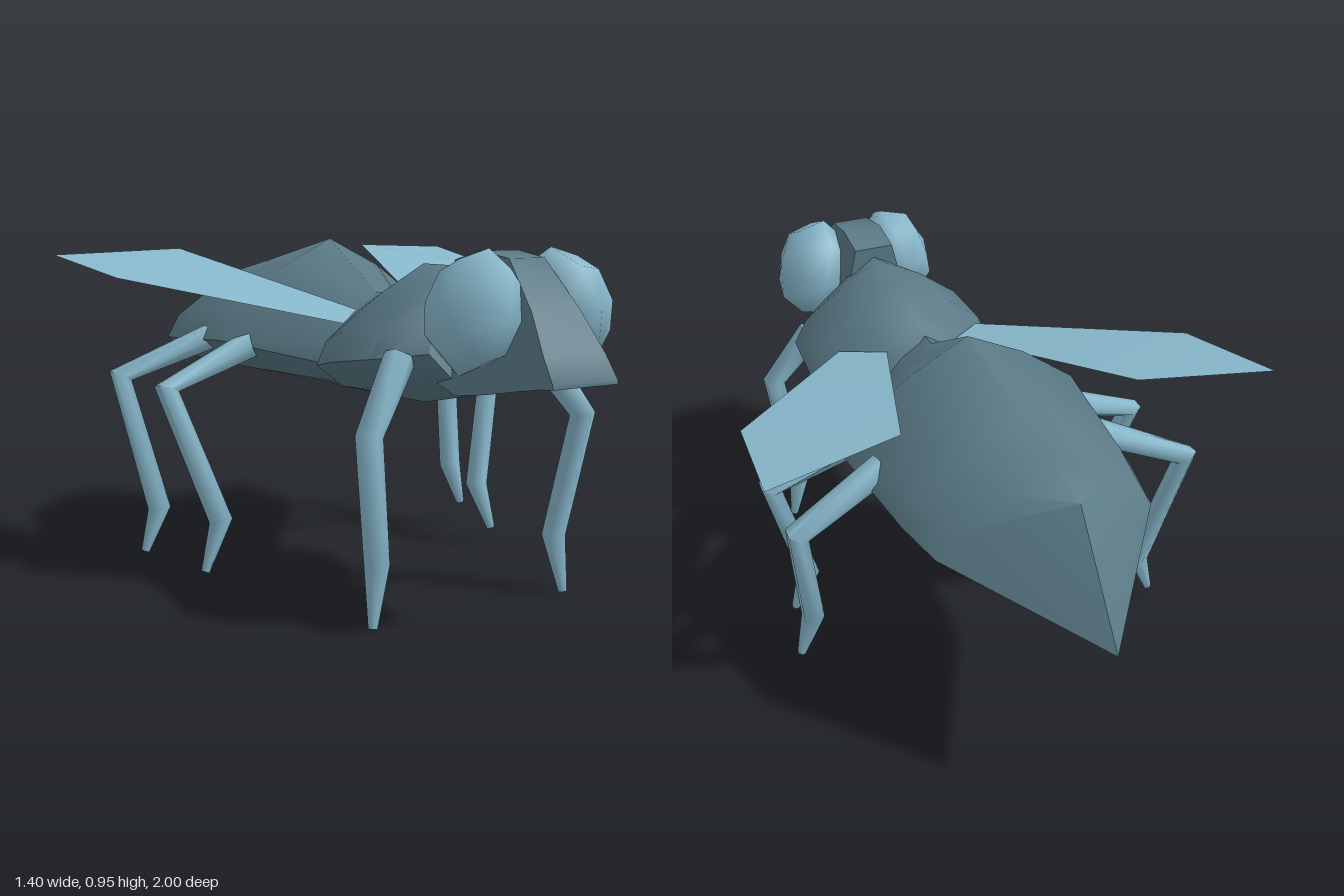
import * as THREE from 'three';
import { toCreasedNormals } from 'three/addons/utils/BufferGeometryUtils.js';

const V = (x, y, z) => new THREE.Vector3(x, y, z);
const dark = new THREE.MeshStandardMaterial({ color: 0x5a7a86 });
const light = new THREE.MeshStandardMaterial({ color: 0x88b8cc });
const wingMaterial = new THREE.MeshStandardMaterial({ color: 0x88b8cc, side: THREE.DoubleSide });

// Skin between rings of points (counter-clockwise around the travel direction), capped at both ends
function loft(rings, crease) {
  const n = rings[0].length, pos = [], idx = [];
  rings.forEach(r => r.forEach(p => pos.push(p.x, p.y, p.z)));
  const face = (...corners) => {
    const [a, b, c] = corners.map(i => V(...pos.slice(i * 3, i * 3 + 3)));
    if (b.sub(a).cross(c.sub(a)).length() > 1e-7) idx.push(...corners);
  };
  for (let i = 0; i < rings.length - 1; i++) {
    for (let j = 0; j < n; j++) {
      const a = i * n + j, b = i * n + (j + 1) % n;
      face(a, b, a + n);
      face(b, b + n, a + n);
    }
  }
  [0, rings.length - 1].forEach((r, end) => {
    const c = rings[r].reduce((s, p) => s.add(p), V(0, 0, 0)).divideScalar(n);
    const centre = pos.length / 3;
    pos.push(c.x, c.y, c.z);
    for (let j = 0; j < n; j++) {
      const a = r * n + j, b = r * n + (j + 1) % n;
      face(centre, end ? a : b, end ? b : a);
    }
  });
  const g = new THREE.BufferGeometry();
  g.setAttribute('position', new THREE.Float32BufferAttribute(pos, 3));
  g.setIndex(idx);
  return toCreasedNormals(g.toNonIndexed(), crease);
}

function addMesh(parent, name, geometry, material) {
  const mesh = new THREE.Mesh(geometry, material);
  mesh.name = name;
  parent.add(mesh);
  return mesh;
}

// Half outline of a body section: width fraction, height fraction
const HALF = [[0, 1], [0.45, 0.81], [0.87, 0.55], [1, 0.34], [0.7, 0.14], [0, 0]];

// Body section at zBottom, its top leaning to zTop
function bodyRing([zBottom, zTop, w, top, bottom]) {
  const at = (s, [x, h]) => V(s * x * w, bottom + (top - bottom) * h, zBottom + (zTop - zBottom) * h);
  return [...HALF.map(p => at(-1, p)), ...HALF.slice(1, -1).reverse().map(p => at(1, p))];
}

// Tapered limb through its joints
function limb(points, radii, sides = 6) {
  const rings = points.map((p, i) => {
    const before = points[Math.max(i - 1, 0)], after = points[Math.min(i + 1, points.length - 1)];
    const d = after.clone().sub(before).normalize();
    const u = V(0, 0, 1).addScaledVector(d, -d.z).normalize();
    const v = d.clone().cross(u);
    return Array.from({ length: sides }, (_, k) => {
      const a = k / sides * Math.PI * 2;
      return p.clone().addScaledVector(u, radii[i] * Math.cos(a)).addScaledVector(v, radii[i] * Math.sin(a));
    });
  });
  return loft(rings, 1.3);
}

export function createModel() {
  const model = new THREE.Group();
  model.name = 'fly';

  // Abdomen, from the slanting tail edge to the waist; the upper outline meets the edge's top, the lower its tip
  const rump = bodyRing([-0.62, -0.62, 0.305, 0.855, 0.525]);
  const tailEdge = rump.map(p => p.y > 0.68 ? V(0, 0.825, -0.78) : V(0, 0.525, -1));
  addMesh(model, 'abdomen', loft([tailEdge, rump, ...[
    [-0.47, -0.47, 0.335, 0.885, 0.525],
    [-0.13, -0.13, 0.37, 0.955, 0.525],
    [0.12, 0.12, 0.19, 0.81, 0.525],
    [0.25, 0.25, 0.15, 0.81, 0.535],
  ].map(bodyRing)], 1), dark);

  // Thorax
  addMesh(model, 'thorax', loft([
    [0.18, 0.15, 0.19, 0.8, 0.535],
    [0.23, 0.21, 0.26, 0.83, 0.525],
    [0.36, 0.35, 0.295, 0.9, 0.525],
    [0.53, 0.51, 0.285, 0.9, 0.56],
    [0.66, 0.57, 0.18, 0.89, 0.59],
  ].map(bodyRing), 1.1), dark);

  // Head wedge: z, top height, top half width, bottom height, bottom half width
  addMesh(model, 'head', loft([
    [0.57, 0.92, 0.06, 0.62, 0.13],
    [0.67, 0.945, 0.06, 0.59, 0.13],
    [0.78, 0.93, 0.055, 0.605, 0.125],
    [0.89, 0.81, 0.075, 0.625, 0.115],
    [0.96, 0.71, 0.095, 0.637, 0.105],
    [1, 0.65, 0.1, 0.64, 0.1],
  ].map(([z, t, tw, b, bw]) => [V(tw, t, z), V(-tw, t, z), V(-bw, b, z), V(bw, b, z)]), 1), dark);

  for (const s of [1, -1]) {
    const side = s > 0 ? 'left' : 'right';

    // Large faceted eye, its top leaning inward
    const eyeShape = new THREE.SphereGeometry(1, 8, 4);
    eyeShape.rotateZ(Math.PI / 2);
    const eye = addMesh(model, side + 'Eye', eyeShape, light);
    eye.scale.set(0.108, 0.158, 0.14);
    eye.position.set(s * 0.14, 0.803, 0.755);
    eye.rotation.z = s * 0.28;

    // Flat wing swept back and up
    const outline = [[0.11, 0.77, 0.19], [0.22, 0.745, 0.295], [0.655, 0.855, -0.19], [0.7, 0.907, -0.55], [0.33, 0.922, -0.47]];
    const wing = new THREE.BufferGeometry();
    wing.setAttribute('position', new THREE.Float32BufferAttribute(outline.flatMap(([x, y, z]) => [s * x, y, z]), 3));
    wing.setIndex(s > 0 ? [0, 1, 2, 0, 2, 4, 2, 3, 4] : [0, 2, 1, 0, 4, 2, 2, 4, 3]);
    wing.computeVertexNormals();
    addMesh(model, side + 'Wing', wing, wingMaterial);
  }

  // Legs: hip, knee, ankle, foot; the two sides are posed a little differently
  const legs = {
    leftFrontLeg: [[0.22, 0.68, 0.56], [0.335, 0.5, 0.62], [0.29, 0.16, 0.565], [0.31, 0.003, 0.585]],
    rightFrontLeg: [[-0.22, 0.68, 0.56], [-0.35, 0.5, 0.62], [-0.29, 0.16, 0.565], [-0.315, 0.003, 0.585]],
    leftMiddleLeg: [[0.27, 0.69, -0.08], [0.555, 0.575, -0.06], [0.44, 0.19, 0.025], [0.48, 0.05, 0.05]],
    rightMiddleLeg: [[-0.27, 0.67, -0.09], [-0.57, 0.555, -0.06], [-0.44, 0.18, 0], [-0.49, 0.04, 0]],
    leftRearLeg: [[0.24, 0.725, -0.25], [0.565, 0.59, -0.32], [0.5, 0.21, -0.195], [0.54, 0.08, -0.19]],
    rightRearLeg: [[-0.24, 0.7, -0.27], [-0.58, 0.56, -0.355], [-0.5, 0.17, -0.28], [-0.545, 0.045, -0.285]],
  };
  for (const [name, joints] of Object.entries(legs)) {
    addMesh(model, name, limb(joints.map(p => V(...p)), [0.042, 0.035, 0.033, 0.012]), light);
  }

  return model;
}
